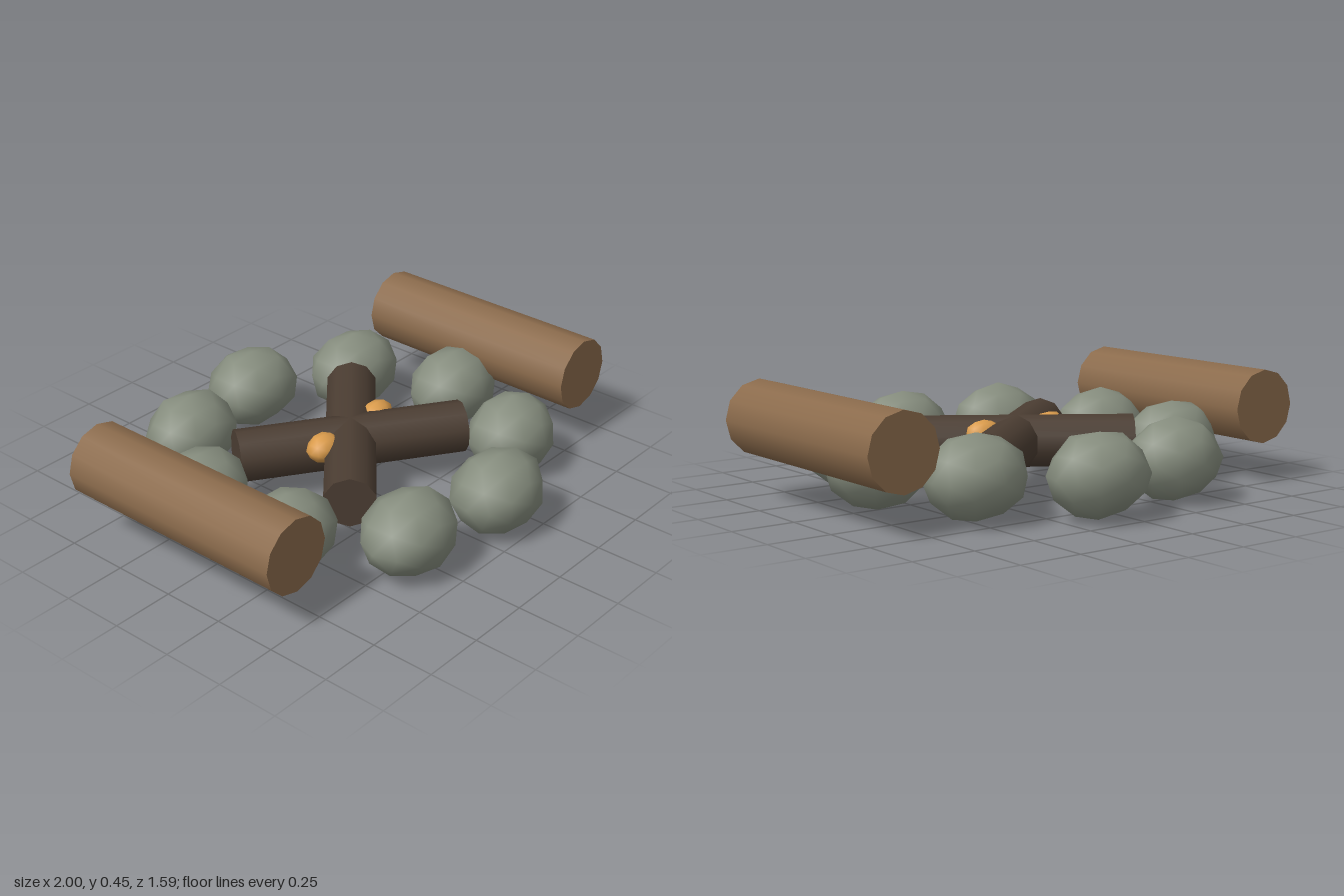
import * as THREE from 'three';
import { mergeVertices } from 'three/addons/utils/BufferGeometryUtils.js';

const paint = (color) => new THREE.MeshStandardMaterial({ color });

// Small seeded generator, returns -1..1
function seeded(seed) {
  let s = seed * 7919 + 17;
  return () => {
    s = (s * 16807) % 2147483647;
    return (s / 2147483647) * 2 - 1;
  };
}

// Lumpy low-poly pebble with smooth normals
function pebble(rx, ry, rz, seed, bump) {
  let geo = new THREE.IcosahedronGeometry(1, 1);
  geo.deleteAttribute('uv');
  geo.deleteAttribute('normal');
  geo = mergeVertices(geo, 1e-3);
  const rand = seeded(seed);
  const pos = geo.attributes.position;
  const v = new THREE.Vector3();
  for (let i = 0; i < pos.count; i++) {
    v.fromBufferAttribute(pos, i).multiplyScalar(1 + bump * rand());
    pos.setXYZ(i, v.x * rx, v.y * ry, v.z * rz);
  }
  geo.computeVertexNormals();
  return geo;
}

// Log lying flat along z, then turned about y
function log(name, radius, length, sides, material, x, y, turn) {
  const geo = new THREE.CylinderGeometry(radius, radius, length, sides).rotateX(Math.PI / 2);
  const mesh = new THREE.Mesh(geo, material);
  mesh.name = name;
  mesh.position.set(x, y, 0);
  mesh.rotation.y = turn;
  return mesh;
}

export function createModel() {
  const group = new THREE.Group();
  group.name = 'campfire';
  const bark = paint(0x8b6b4c);
  const charred = paint(0x4b3d32);
  const rock = paint(0x868d7e);
  const glow = paint(0xdb9c4c);

  // Seat logs on both sides
  group.add(log('leftSeatLog', 0.147, 0.98, 12, bark, 0.853, 0.31, 0));
  group.add(log('rightSeatLog', 0.147, 0.98, 12, bark, -0.853, 0.31, 0));

  // Crossed firewood
  const rad = THREE.MathUtils.degToRad;
  group.add(log('firewoodA', 0.103, 0.905, 10, charred, 0, 0.195, rad(90 - 34.3)));
  group.add(log('firewoodB', 0.103, 0.905, 10, charred, 0, 0.195, rad(90 + 40.3)));

  // Ring of stones
  const ring = new THREE.Group();
  ring.name = 'stoneRing';
  const count = 9;
  for (let i = 0; i < count; i++) {
    const a = (i / count) * Math.PI * 2;
    const stone = new THREE.Mesh(pebble(0.2, 0.16, 0.166, i + 1, 0.045), rock);
    stone.name = 'stone' + (i + 1);
    stone.position.set(0.645 * Math.cos(a), 0.17, 0.638 * Math.sin(a));
    ring.add(stone);
  }
  group.add(ring);

  // Embers in the gaps between the firewood
  for (const side of [-1, 1]) {
    const ember = new THREE.Mesh(pebble(0.075, 0.058, 0.06, 20 + side, 0.05), glow);
    ember.name = side > 0 ? 'leftEmber' : 'rightEmber';
    ember.position.set(0.162 * side, 0.238, -0.005 * side);
    group.add(ember);
  }
  return group;
}
